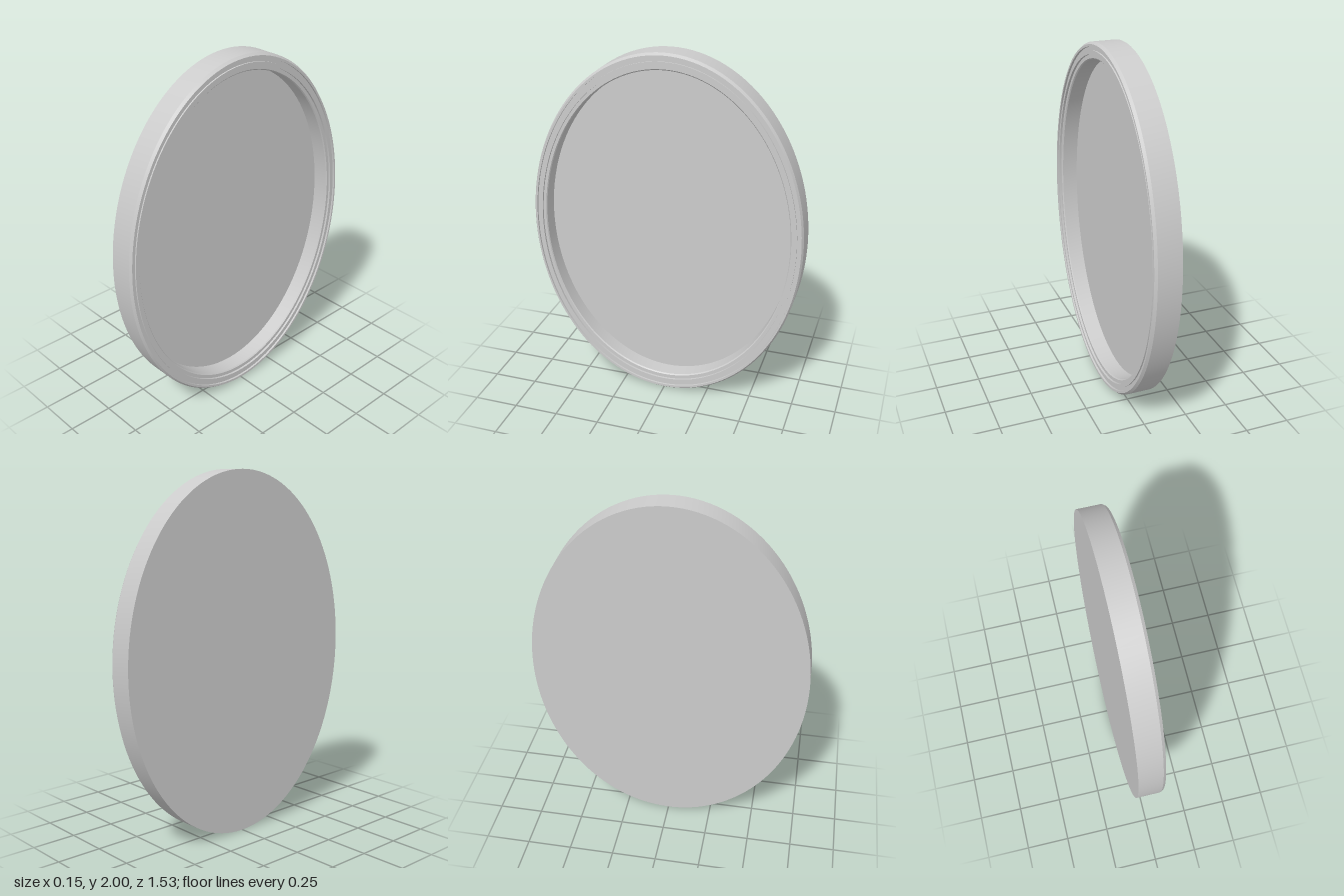
import * as THREE from 'three';
import { toCreasedNormals } from 'three/addons/utils/BufferGeometryUtils.js';

const DEPTH_RATIO = 0.765; // oval width against its height
const SEGMENTS = 128;

// Turns a [radius, x] profile round the x axis and squashes it to an oval.
function ovalLathe(name, profile, material) {
  const points = profile.map(([r, x]) => new THREE.Vector2(r, x));
  let geometry = new THREE.LatheGeometry(points, SEGMENTS);
  geometry.scale(1, 1, DEPTH_RATIO);
  geometry.rotateZ(-Math.PI / 2);
  geometry = toCreasedNormals(geometry, 0.4);
  const mesh = new THREE.Mesh(geometry, material);
  mesh.name = name;
  mesh.position.y = 1;
  return mesh;
}

export function createModel() {
  const group = new THREE.Group();
  group.name = 'ovalFrame';
  const material = new THREE.MeshStandardMaterial({ color: 0xcccccc });

  // Rim: straight outer wall, chamfer, stepped front moulding, inner wall
  group.add(ovalLathe('rim', [
    [1, -0.073], [1, 0.058],
    [0.988, 0.073], [0.975, 0.073],
    [0.975, 0.062], [0.955, 0.062],
    [0.955, 0.07], [0.935, 0.07],
    [0.935, 0.058], [0.914, 0.058],
    [0.908, 0.052], [0.908, -0.035],
  ], material));

  // Flat recessed panel facing +x
  group.add(ovalLathe('recessedPanel', [[0.908, -0.035], [0, -0.035]], material));

  // Flat back facing -x
  group.add(ovalLathe('backPlate', [[0, -0.073], [1, -0.073]], material));

  return group;
}
